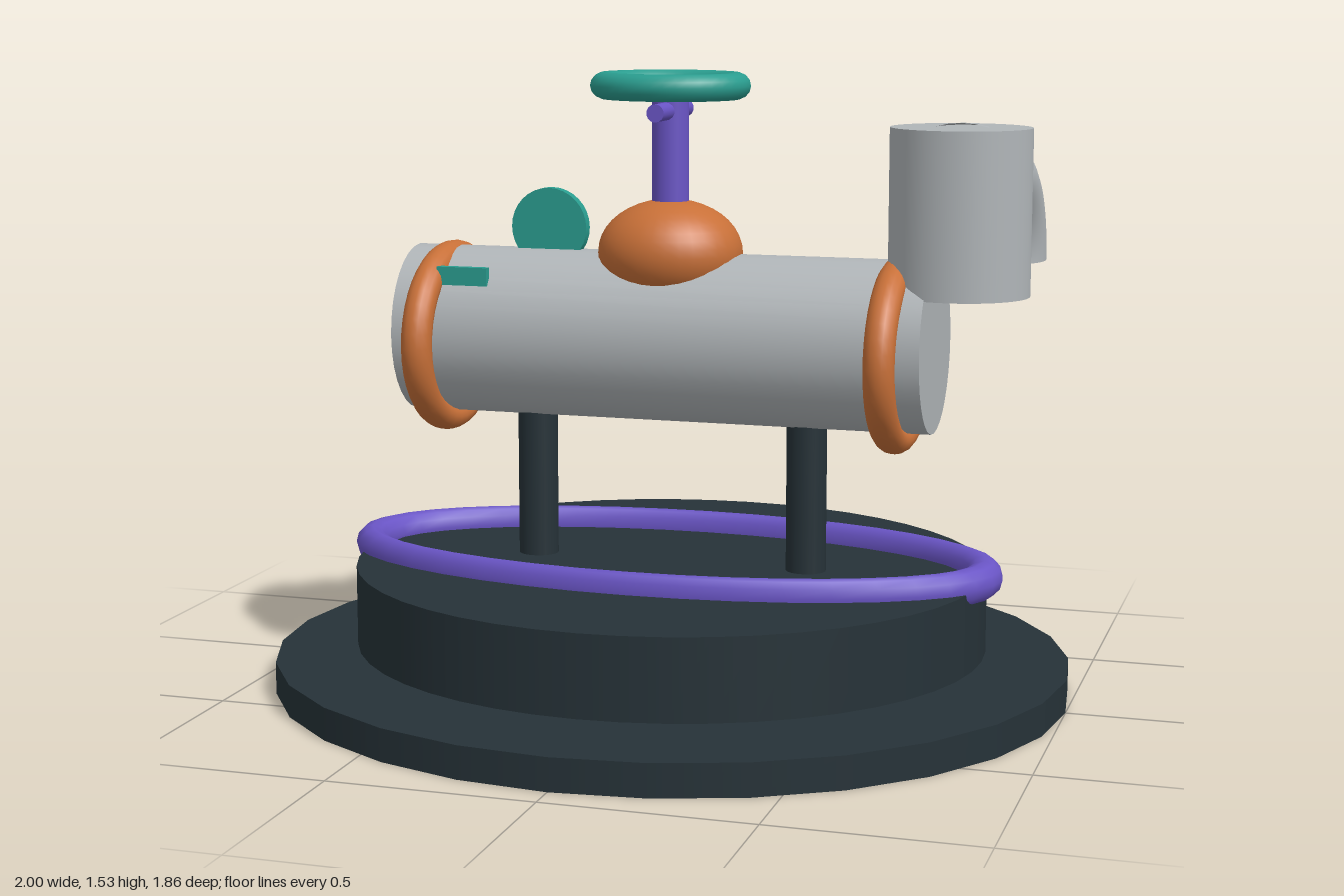
import * as THREE from 'three';

const mat = (name, color, side = THREE.FrontSide) => {
  const m = new THREE.MeshStandardMaterial({ color, side });
  m.name = name;
  return m;
};

export function createModel() {
  const model = new THREE.Group();
  model.name = 'valveTank';

  const slate = mat('darkSlate', 0x263238);
  const grey = mat('pipeGrey', 0xb0b5b8, THREE.DoubleSide);
  const copper = mat('copper', 0xc87038);
  const teal = mat('teal', 0x2a9d8f);
  const purple = mat('purple', 0x6a55c6);

  const add = (name, geometry, material, x, y, z) => {
    const mesh = new THREE.Mesh(geometry, material);
    mesh.name = name;
    mesh.position.set(x, y, z);
    model.add(mesh);
    return mesh;
  };

  // upright cylinder, slightly oval in depth
  const oval = (rx, rz, h, seg = 32) =>
    new THREE.CylinderGeometry(rx, rx, h, seg).scale(1, 1, rz / rx);

  // stacked base
  add('basePlate', oval(1, 0.93, 0.08, 28), slate, 0, 0.04, 0);
  add('baseDrum', oval(0.792, 0.737, 0.2, 48), slate, 0, 0.21, 0);

  // support posts
  for (const s of [-1, 1])
    add('supportPost', oval(0.05, 0.047, 0.66, 20), slate, s * 0.35, 0.39, 0);

  // oval hose lying on the drum
  add('hoseRing', new THREE.TorusGeometry(0.795, 0.045, 12, 40)
    .rotateX(Math.PI / 2).scale(1, 1, 0.446), purple, 0, 0.318, 0);

  // horizontal tank
  add('tank', new THREE.CylinderGeometry(0.21, 0.21, 1.33, 32)
    .rotateZ(Math.PI / 2).scale(1, 1, 0.93), grey, 0, 0.88, 0);

  // clamp bands
  for (const s of [-1, 1])
    add('clampBand', new THREE.TorusGeometry(0.24, 0.038, 16, 40)
      .rotateY(Math.PI / 2).scale(1, 0.865, 1), copper, s * 0.579, 0.86, 0);

  // valve bonnet, stem, crossbar and handwheel
  add('valveDome', new THREE.SphereGeometry(0.18, 32, 20)
    .scale(1, 0.73, 0.93), copper, 0, 1.09, 0);
  add('valveStem', oval(0.046, 0.042, 0.32, 20), purple, 0, 1.32, 0);
  add('crossBar', new THREE.CylinderGeometry(0.022, 0.022, 0.255, 14)
    .rotateX(Math.PI / 2), purple, 0, 1.437, 0);
  add('handWheel', new THREE.TorusGeometry(0.163, 0.036, 14, 40)
    .rotateX(Math.PI / 2).scale(1, 0.92, 0.86), teal, 0, 1.498, 0);

  // gauge disc and side tag
  add('gaugeDisc', new THREE.CylinderGeometry(0.098, 0.098, 0.028, 32)
    .rotateX(Math.PI / 2), teal, -0.312, 1.143, 0);
  add('sideTag', new THREE.BoxGeometry(0.13, 0.045, 0.022), teal, -0.49, 1.03, 0.15);

  // outlet pipe with a downturned open elbow at the back
  add('outletPipe', oval(0.17, 0.158, 0.4, 36), grey, 0.72, 1.21, 0);
  add('outletElbow', new THREE.TorusGeometry(0.28, 0.166, 32, 20, Math.PI / 2)
    .rotateY(Math.PI / 2).scale(1.01, 0.785, 0.92), grey, 0.72, 1.07, 0);

  return model;
}
